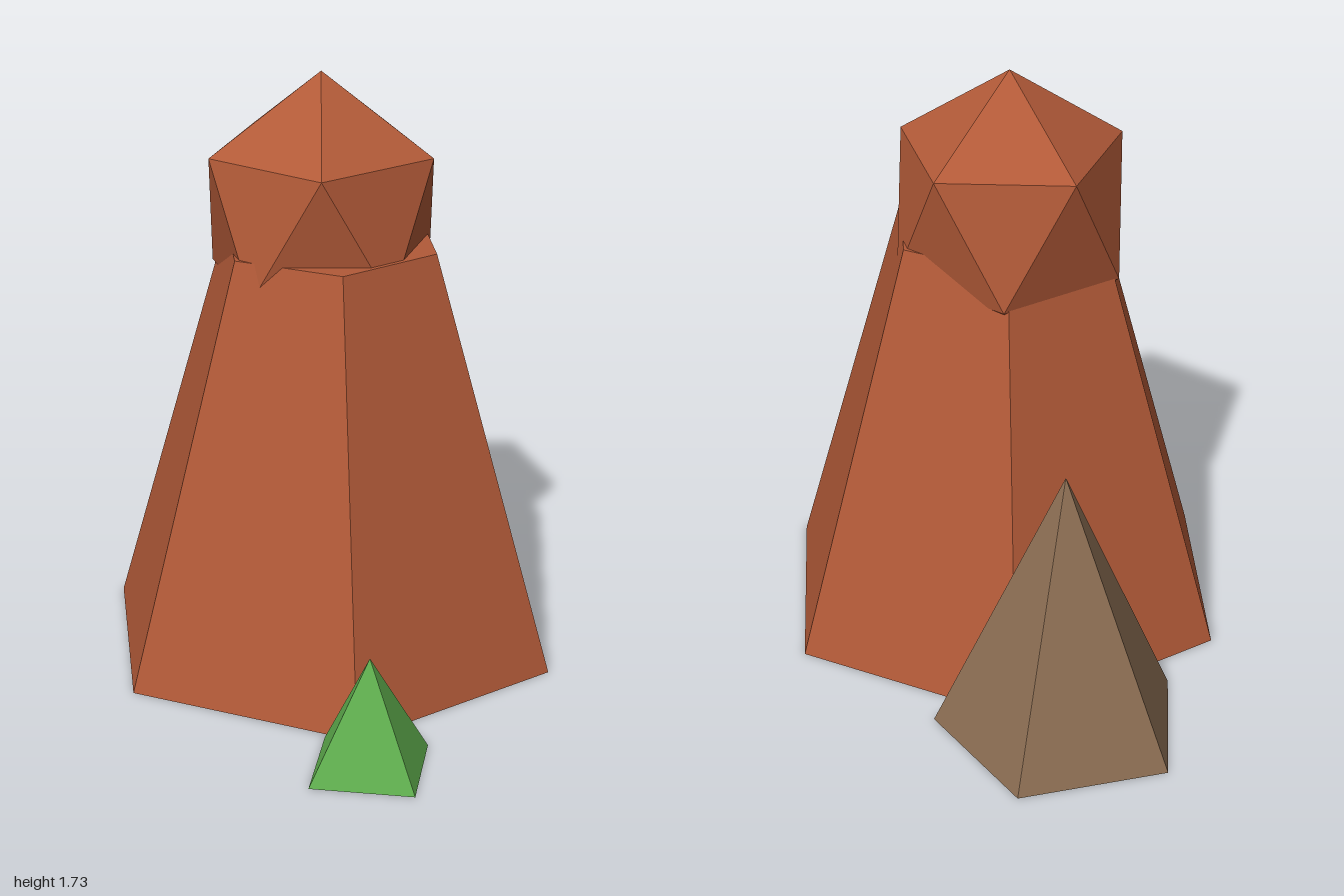
import * as THREE from 'three';

function material(name, color) {
  return new THREE.MeshStandardMaterial({ name, color, flatShading: true });
}

function addPart(group, name, geometry, mat, x, y, z) {
  const mesh = new THREE.Mesh(geometry, mat);
  mesh.name = name;
  mesh.position.set(x, y, z);
  group.add(mesh);
}

export function createModel() {
  const group = new THREE.Group();
  group.name = 'rockFormation';
  const redRock = material('red rock', 0xb25a38);
  const brownRock = material('brown rock', 0x8b6d52);
  const green = material('shrub green', 0x5fae4e);

  // Six-sided tapering pillar
  const height = 1.24;
  addPart(group, 'pillar', new THREE.CylinderGeometry(0.33, 0.7, height, 6), redRock, 0.053, height / 2, 0);

  // Boulder cap: icosahedron stood on a corner and stretched upward
  const cap = new THREE.IcosahedronGeometry(1, 0);
  cap.rotateZ(Math.atan(2 / (1 + Math.sqrt(5))));
  cap.scale(0.372, 0.41, 0.372);
  addPart(group, 'boulderCap', cap, redRock, 0.011, 1.317, 0);

  // Five-sided side rock
  addPart(group, 'sideRock', new THREE.ConeGeometry(0.37, 0.82, 5), brownRock, -0.648, 0.41, -0.25);

  // Four-sided shrub
  addPart(group, 'shrub', new THREE.ConeGeometry(0.205, 0.33, 4), green, 0.795, 0.165, 0.41);

  return group;
}
